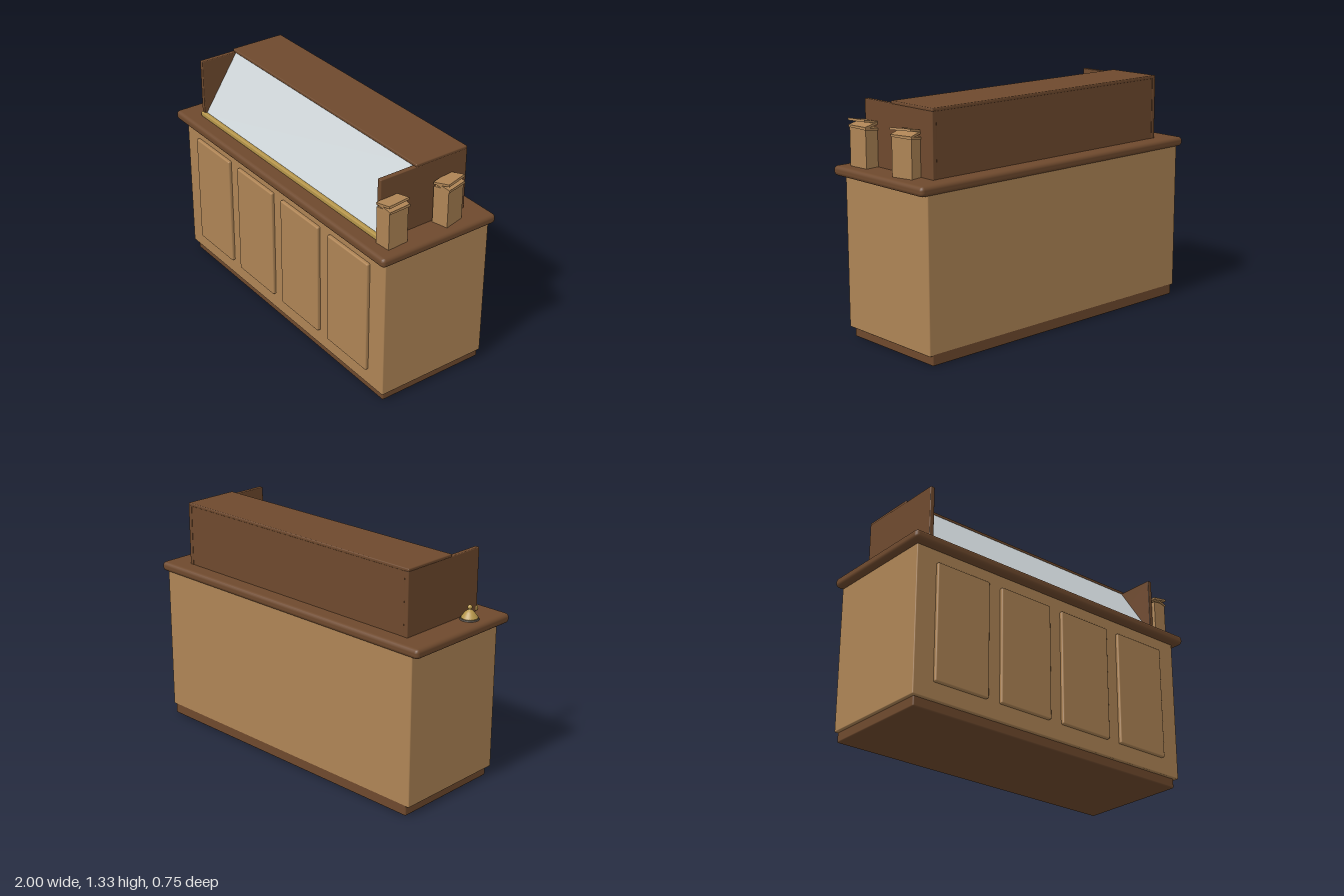
import * as THREE from 'three';
import { RoundedBoxGeometry } from 'three/addons/geometries/RoundedBoxGeometry.js';

const material = (name, color, side = THREE.FrontSide) => {
  const m = new THREE.MeshStandardMaterial({ color, side });
  m.name = name;
  return m;
};

export function createModel() {
  const lightWood = material('light wood', 0xae8455);
  const darkWood = material('dark wood', 0x6e492d);
  const glass = material('pale glass', 0xccd3d6, THREE.DoubleSide);
  const brass = material('brass', 0xb5954a);
  const darkMetal = material('dark metal', 0x57504a);

  const model = new THREE.Group();
  model.name = 'displayCounter';

  const add = (name, geometry, mat, parent = model) => {
    const mesh = new THREE.Mesh(geometry, mat);
    mesh.name = name;
    parent.add(mesh);
    return mesh;
  };

  // Bevelled box given by its extents on each axis
  const block = (name, [x0, x1], [y0, y1], [z0, z1], bevel, mat, parent = model) => {
    const mesh = add(name, new RoundedBoxGeometry(x1 - x0, y1 - y0, z1 - z0, 2, bevel), mat, parent);
    mesh.position.set((x0 + x1) / 2, (y0 + y1) / 2, (z0 + z1) / 2);
    return mesh;
  };

  // Cabinet
  block('plinth', [-0.935, 0.935], [0, 0.07], [-0.365, 0.305], 0.008, darkWood);
  block('cabinetBody', [-0.955, 0.955], [0.055, 0.915], [-0.365, 0.325], 0.006, lightWood);
  block('countertop', [-1, 1], [0.907, 0.962], [-0.376, 0.377], 0.022, darkWood);
  for (let i = 0; i < 4; i++) {
    const x = (i - 1.5) * 0.436;
    block('frontPanel', [x - 0.175, x + 0.175], [0.153, 0.833], [0.315, 0.345], 0.008, lightWood);
  }

  // Display case
  const displayCase = new THREE.Group();
  displayCase.name = 'displayCase';
  model.add(displayCase);
  for (const side of [-1, 1]) {
    const x = side * 0.834;
    block('caseSide', [x - 0.014, x + 0.014], [0.955, 1.32], [-0.282, 0.282], 0.005, darkWood, displayCase);
  }
  block('caseBack', [-0.825, 0.825], [0.955, 1.322], [-0.28, -0.255], 0.004, darkWood, displayCase);
  block('caseTop', [-0.848, 0.848], [1.315, 1.334], [-0.282, 0.056], 0.006, darkWood, displayCase);

  // Sloping front pane
  const low = new THREE.Vector2(0.272, 0.975);
  const high = new THREE.Vector2(0.045, 1.322);
  const pane = add('glassPane', new THREE.BoxGeometry(1.645, low.distanceTo(high), 0.008), glass, displayCase);
  pane.position.set(0, (low.y + high.y) / 2, (low.x + high.x) / 2);
  pane.rotation.x = -Math.atan2(low.x - high.x, high.y - low.y);

  block('brassRail', [-0.85, 0.848], [0.962, 0.992], [0.266, 0.292], 0.008, brass, displayCase);

  // Service bell
  const bell = new THREE.Group();
  bell.name = 'serviceBell';
  bell.position.set(-0.9, 0.96, 0.155);
  model.add(bell);
  add('bellBase', new THREE.CylinderGeometry(0.05, 0.053, 0.01, 32), darkMetal, bell).position.y = 0.005;
  const dome = [[0, 0.009], [0.048, 0.009], [0.045, 0.016], [0.036, 0.028], [0.026, 0.042], [0.014, 0.052], [0.008, 0.054], [0.008, 0.062], [0, 0.062]];
  add('bellDome', new THREE.LatheGeometry(dome.map(([r, y]) => new THREE.Vector2(r, y)), 32), brass, bell);
  add('bellButton', new THREE.SphereGeometry(0.013, 20, 12), brass, bell).position.y = 0.069;

  // Paper bags with zigzag folded tops
  const bags = [
    { x: 0.888, z: 0.236, turn: 0.07 },
    { x: 0.89, z: -0.128, turn: 0.24 },
  ];
  for (const { x, z, turn } of bags) {
    const bag = new THREE.Group();
    bag.name = 'paperBag';
    bag.position.set(x, 0.96, z);
    bag.rotation.y = turn;
    model.add(bag);
    add('bagBody', new THREE.BoxGeometry(0.095, 0.215, 0.128), lightWood, bag).position.y = 0.1075;
    [[0.214, 0.12], [0.231, -0.2], [0.249, 0.2]].forEach(([y, tilt], i) => {
      const fold = add('bagFold', new THREE.BoxGeometry(0.1, 0.013, 0.134), lightWood, bag);
      fold.position.set(0.004, y, 0.003 * (i - 1));
      fold.rotation.set(0.03 * (i - 1), 0, tilt);
    });
  }

  return model;
}
